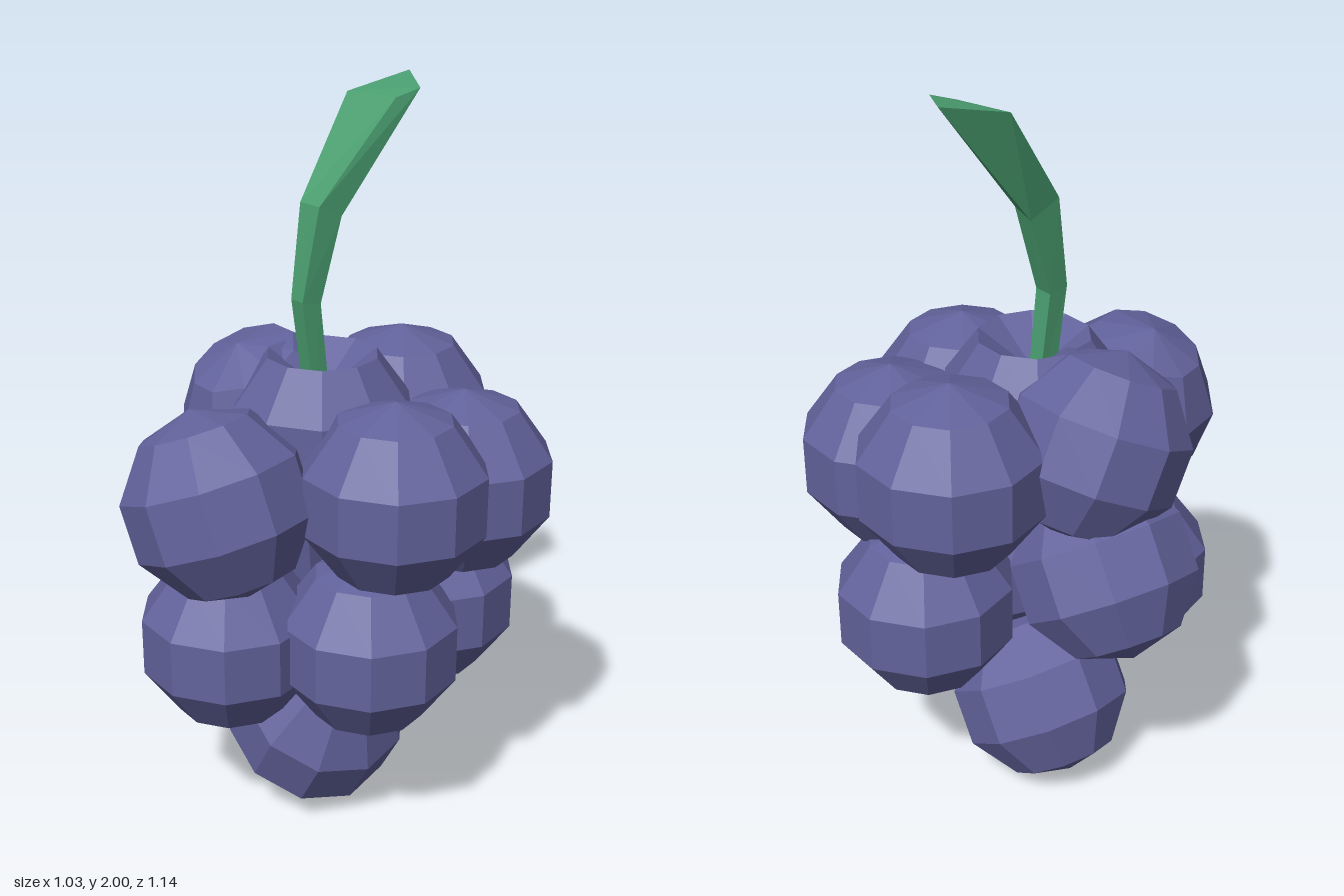
import * as THREE from 'three';

const R = 0.25;
const UP = new THREE.Vector3(0, 1, 0);

export function createModel() {
  const group = new THREE.Group();
  const grapeMat = new THREE.MeshStandardMaterial({ color: 0x62629c, flatShading: true });
  const stemMat = new THREE.MeshStandardMaterial({ color: 0x4a9e70, flatShading: true });

  // Faceted berries: centre, then the direction its pole leans
  const berry = new THREE.SphereGeometry(R, 10, 5);
  const addBerry = (name, geometry, centre, pole = [0, 1, 0]) => {
    const mesh = new THREE.Mesh(geometry, grapeMat);
    mesh.name = name;
    mesh.position.set(...centre);
    mesh.quaternion.setFromUnitVectors(UP, new THREE.Vector3(...pole).normalize());
    group.add(mesh);
  };
  const berries = [
    // upper ring
    [[0.28, 1.04, -0.02]],
    [[0.21, 0.995, -0.3]],
    [[-0.11, 1.08, -0.345]],
    [[0.02, 1.015, 0.33], [-0.33, 0.94, 0.12]],
    [[-0.235, 1.1, 0], [0, 0.9, 0.42]],
    // middle ring
    [[-0.275, 0.755, 0.01], [0.55, 0.82, 0.05]],
    [[-0.08, 0.575, 0.245]],
    [[0.185, 0.59, -0.02]],
    [[0.065, 0.605, -0.315]],
    // bottom
    [[-0.055, 0.25, -0.02], [0.53, 0.85, 0]],
  ];
  berries.forEach(([centre, pole], i) => addBerry(`grape${i + 1}`, berry, centre, pole));

  // Top berry, its cap pushed in around the stem
  const dented = berry.clone();
  const pos = dented.attributes.position;
  for (let i = 0; i < pos.count; i++) if (pos.getY(i) > R * 0.95) pos.setY(i, 0.1);
  addBerry('topGrape', dented, [-0.025, 1.13, -0.02]);

  // Stem: four-cornered sections from the berry up to the flared, slanted end
  // corners run front left, front right, back right, back left
  const sections = [
    [[-0.08, 1.2, 0], [-0.035, 1.2, 0], [-0.035, 1.2, -0.05], [-0.08, 1.2, -0.05]],
    [[-0.085, 1.47, 0.035], [-0.035, 1.47, 0.035], [-0.033, 1.46, -0.02], [-0.087, 1.46, -0.02]],
    [[-0.1, 1.71, -0.005], [-0.025, 1.71, -0.01], [-0.02, 1.68, -0.075], [-0.1, 1.67, -0.09]],
    [[-0.148, 1.96, -0.185], [0.005, 1.96, -0.22], [0.02, 1.98, -0.285], [-0.125, 2.0, -0.365]],
  ];
  const index = [];
  for (let s = 0; s < sections.length - 1; s++) {
    for (let i = 0; i < 4; i++) {
      const a = s * 4 + i, b = s * 4 + (i + 1) % 4;
      index.push(a, b, b + 4, a, b + 4, a + 4);
    }
  }
  const end = (sections.length - 1) * 4;
  index.push(end, end + 1, end + 2, end, end + 2, end + 3, 0, 2, 1, 0, 3, 2);
  const stemGeo = new THREE.BufferGeometry();
  stemGeo.setAttribute('position', new THREE.Float32BufferAttribute(sections.flat(2), 3));
  stemGeo.setIndex(index);
  stemGeo.computeVertexNormals();
  const stem = new THREE.Mesh(stemGeo, stemMat);
  stem.name = 'stem';
  group.add(stem);

  return group;
}
